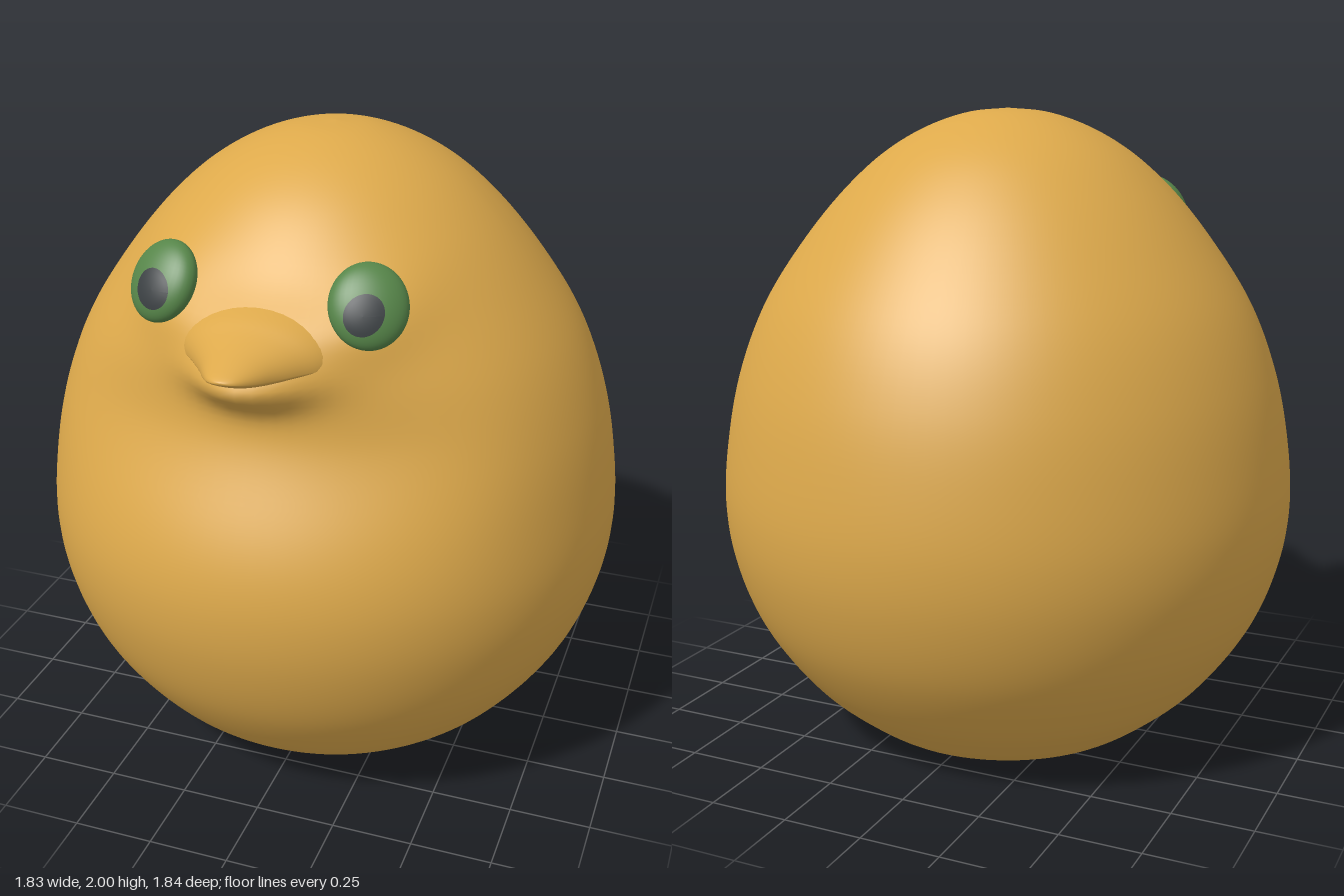
import * as THREE from 'three';

const gold = new THREE.MeshStandardMaterial({ color: 0xdda94b });
gold.name = 'golden skin';
const green = new THREE.MeshStandardMaterial({ color: 0x568549 });
green.name = 'eye green';
const dark = new THREE.MeshStandardMaterial({ color: 0x3a3f42 });
dark.name = 'pupil charcoal';

const gauss = (d, s) => Math.exp(-((d / s) ** 2));
const vec = ([x, y, z = 0]) => new THREE.Vector3(x, y, z);

// Smooth skin over closed rings; at(u, v) gives the point, u around, v along
function loft(cols, rows, at) {
  const pos = [], idx = [];
  for (let j = 0; j <= rows; j++)
    for (let i = 0; i < cols; i++) pos.push(...at(i / cols, j / rows));
  for (let j = 0; j < rows; j++)
    for (let i = 0; i < cols; i++) {
      const a = j * cols + i, b = j * cols + ((i + 1) % cols);
      idx.push(a, b, b + cols, a, b + cols, a + cols);
    }
  const g = new THREE.BufferGeometry();
  g.setAttribute('position', new THREE.Float32BufferAttribute(pos, 3));
  g.setIndex(idx);
  g.computeVertexNormals();
  return g;
}

function mesh(name, geometry, material) {
  const m = new THREE.Mesh(geometry, material);
  m.name = name;
  return m;
}

// Egg body: [radius, height], starting in the hollow under the base
function makeBody() {
  const curve = new THREE.CatmullRomCurve3([
    [0, 0.11], [0.1, 0.1], [0.17, 0.05], [0.21, 0.012], [0.3, 0.006], [0.41, 0.003], [0.45, 0.014],
    [0.56, 0.09], [0.68, 0.2], [0.82, 0.4], [0.893, 0.6], [0.915, 0.78], [0.895, 1.0],
    [0.85, 1.2], [0.77, 1.4], [0.64, 1.6], [0.505, 1.76], [0.38, 1.87], [0.25, 1.945],
    [0.12, 1.988], [0, 2],
  ].map(vec));
  curve.arcLengthDivisions = 600;
  return loft(112, 130, (u, v) => {
    const p = curve.getPointAt(v);
    const a = u * Math.PI * 2, turn = a > Math.PI ? a - Math.PI * 2 : a;
    const y = p.y, x = p.x * Math.sin(a);
    let r = Math.max(p.x, 0);
    if (Math.cos(a) > 0 && y > 0.5) {
      // throat and cheek hollow, chin, beak root and eye sockets
      r -= 0.08 * gauss(y - 1.25, y < 1.25 ? 0.25 : 0.2) * Math.exp(-((turn / 0.75) ** 4));
      r += 0.11 * gauss(y - 1.455, 0.07) * gauss(x, 0.17);
      r += 0.05 * gauss(y - 1.57, 0.08) * gauss(x, 0.24);
      r += 0.03 * gauss(y - 1.63, 0.12) * gauss(Math.abs(x) - 0.3, 0.14);
    }
    return [r * Math.sin(a), y, r * Math.cos(a)];
  });
}

// Upper beak: sections of z, half width, top, mouth line, underside
function makeBeak() {
  const sections = [
    [0.5, 0.28, 1.67, 1.505, 1.48], [0.6, 0.255, 1.645, 1.503, 1.476],
    [0.68, 0.215, 1.622, 1.502, 1.474], [0.74, 0.16, 1.597, 1.502, 1.474],
    [0.8, 0.112, 1.575, 1.504, 1.477], [0.86, 0.074, 1.555, 1.512, 1.493],
    [0.9, 0.044, 1.541, 1.521, 1.512], [0.917, 0.018, 1.533, 1.526, 1.522],
    [0.92, 0, 1.529, 1.529, 1.529],
  ];
  const size = new THREE.CatmullRomCurve3(sections.map(([z, w, t]) => vec([z, w, t])));
  const lips = new THREE.CatmullRomCurve3(sections.map(([z, , , m, b]) => vec([z, m, b])));
  return loft(40, 32, (u, v) => {
    const { x: z, y: w, z: top } = size.getPoint(v);
    const { y: mouth, z: low } = lips.getPoint(v);
    const c = Math.cos(u * Math.PI * 2), s = Math.sin(u * Math.PI * 2);
    return [w * c, mouth + s * (s > 0 ? top - mouth : mouth - low), z];
  });
}

// Flattened eyeball, tilted up and outward, with a thin forward-facing pupil
function makeEye(side) {
  const eye = new THREE.Group();
  eye.name = side > 0 ? 'leftEye' : 'rightEye';
  const radii = new THREE.Vector3(0.11, 0.12, 0.055);
  const tilt = new THREE.Quaternion().setFromEuler(
    new THREE.Euler(-0.53, side * 0.37, 0, 'YXZ'));
  const ball = new THREE.SphereGeometry(1, 40, 28);
  ball.scale(radii.x, radii.y, radii.z);
  ball.applyQuaternion(tilt);
  eye.add(mesh('eyeball', ball, green));

  const pupil = new THREE.RingGeometry(0.0001, 0.053, 36, 5);
  const p = pupil.attributes.position;
  const inverse = tilt.clone().invert();
  const dir = new THREE.Vector3(0, 0, 1).applyQuaternion(inverse).divide(radii);
  for (let i = 0; i < p.count; i++) {
    // lay each point on the eyeball along z
    const o = new THREE.Vector3(p.getX(i) + side * 0.006, p.getY(i) - 0.004, 0);
    const q = o.clone().applyQuaternion(inverse).divide(radii);
    const A = dir.dot(dir), B = q.dot(dir), C = q.dot(q) - 1;
    const z = (-B + Math.sqrt(Math.max(B * B - A * C, 0))) / A;
    p.setXYZ(i, o.x, o.y, z + 0.004);
  }
  pupil.computeVertexNormals();
  eye.add(mesh('pupil', pupil, dark));
  eye.position.set(side * 0.3, 1.663, 0.598);
  return eye;
}

export function createModel() {
  const model = new THREE.Group();
  model.name = 'roundBird';
  model.add(mesh('body', makeBody(), gold));
  model.add(mesh('beak', makeBeak(), gold));
  for (const side of [-1, 1]) model.add(makeEye(side));
  return model;
}
